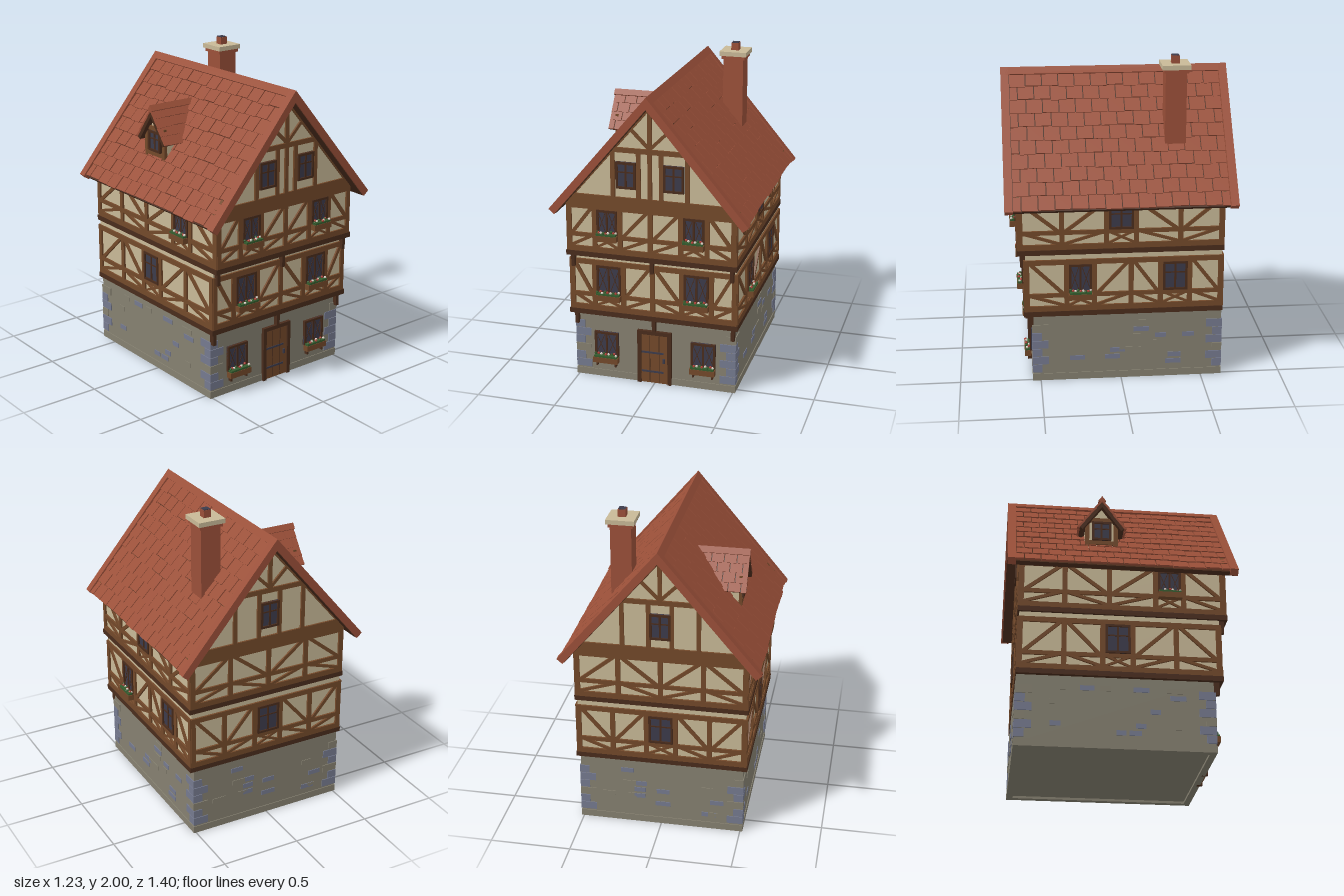
import * as THREE from 'three';
import { mergeGeometries } from 'three/addons/utils/BufferGeometryUtils.js';

const mat = (name, color) => Object.assign(new THREE.MeshStandardMaterial({ color, flatShading: true }), { name });
const M = {
  plaster: mat('plaster', 0xc8b997), tile: mat('roof tile', 0x9b5039), stone: mat('stone', 0x858070),
  blueStone: mat('blue stone', 0x757a8f), timber: mat('timber', 0x73492a), dark: mat('dark timber', 0x4a2c1c),
  glass: mat('window glass', 0x3c3b4b), leaf: mat('foliage', 0x345c2e), red: mat('red flower', 0xb04038),
  white: mat('pale flower', 0xd8cfc4),
};
let seed = 7;
const rnd = () => (seed = (seed * 16807) % 2147483647) / 2147483647;

function box(g, name, m, w, h, d, x, y, z) {
  const b = new THREE.Mesh(new THREE.BoxGeometry(w, h, d), m);
  b.name = name;
  b.position.set(x, y, z);
  g.add(b);
  return b;
}
// box given by its limits on each axis
const span = (g, name, m, x0, x1, y0, y1, z0, z1) =>
  box(g, name, m, x1 - x0, y1 - y0, z1 - z0, (x0 + x1) / 2, (y0 + y1) / 2, (z0 + z1) / 2);
// beam on a wall plane (z = 0), running between two points
function beam(g, x0, y0, x1, y1, w = 0.026, m = M.timber, d = 0.02, name = 'beam') {
  const b = box(g, name, m, Math.hypot(x1 - x0, y1 - y0), w, d, (x0 + x1) / 2, (y0 + y1) / 2, 0.002);
  b.rotation.z = Math.atan2(y1 - y0, x1 - x0);
}
function group(parent, name, x = 0, y = 0, z = 0, ry = 0) {
  const g = new THREE.Group();
  g.name = name;
  g.position.set(x, y, z);
  g.rotation.y = ry;
  parent.add(g);
  return g;
}
function extrude(g, name, m, pts, z0, z1) {
  const geo = new THREE.ExtrudeGeometry(new THREE.Shape(pts.map(p => new THREE.Vector2(...p))), { depth: z1 - z0, bevelEnabled: false });
  const e = new THREE.Mesh(geo, m);
  e.position.z = z0;
  e.name = name;
  g.add(e);
}

function flowerBox(parent, x, y, w, feet) {
  const g = group(parent, 'flowerBox', x, y, 0.03);
  box(g, 'planter', M.timber, w, 0.036, 0.04, 0, -0.018, 0);
  box(g, 'leaves', M.leaf, w * 0.92, 0.014, 0.034, 0, 0.005, 0);
  for (let i = 0; i < 9; i++) {
    const f = new THREE.Mesh(new THREE.IcosahedronGeometry(0.009, 0), i % 3 === 1 ? M.red : i % 3 ? M.white : M.leaf);
    f.name = 'flower';
    f.position.set((i / 8 - 0.5) * w * 0.85, 0.014 + rnd() * 0.008, (rnd() - 0.5) * 0.028);
    g.add(f);
  }
  if (feet) for (const s of [-1, 1]) box(g, 'bracket', M.dark, 0.01, 0.03, 0.025, s * w * 0.38, -0.048, -0.01);
}

function windowUnit(parent, x, y, w, h, lattice) {
  const g = group(parent, 'window', x, y, 0.004);
  box(g, 'glass', M.glass, w, h, 0.009, 0, 0, 0.002);
  for (const s of [-1, 1]) {
    box(g, 'jamb', M.dark, 0.014, h, 0.03, s * (w / 2 - 0.007), 0, 0);
    box(g, 'head', M.dark, w, 0.014, 0.03, 0, s * (h / 2 - 0.007), 0);
    if (lattice) for (const t of [-1, 1])
      beam(g, s * w / 4 - t * w / 5, -h * 0.45, s * w / 4 + t * w / 5, h * 0.45, 0.004, M.dark, 0.013, 'lattice');
  }
  box(g, 'mullion', M.dark, 0.012, h, 0.022, 0, 0, 0);
  if (!lattice) box(g, 'transom', M.dark, w, 0.008, 0.02, 0, h * 0.12, 0);
}

// timber frame: each bay is '/', '\\', 'F' (lattice window with flowers) or 'w' (plain window)
function frame(g, y0, rail, top, posts, bays) {
  const a = posts[0] - 0.015, b = posts[posts.length - 1] + 0.015;
  beam(g, a, y0 + 0.017, b, y0 + 0.017, 0.034);
  beam(g, a, rail, b, rail);
  beam(g, a, top, b, top, 0.032);
  posts.forEach(p => beam(g, p, y0, p, top, 0.03));
  [...bays].forEach((k, i) => {
    const l = posts[i] + 0.012, r = posts[i + 1] - 0.012, c = (l + r) / 2, lo = y0 + 0.035;
    if (k === 'F' || k === 'w') {
      windowUnit(g, c, (rail + top) / 2, r - l - 0.006, top - rail - 0.03, k === 'F');
      beam(g, l, lo, r, rail, 0.014);
      beam(g, l, rail, r, lo, 0.014);
      if (k === 'F') flowerBox(g, c, rail + 0.015, r - l, false);
    } else {
      const up = k === '/';
      beam(g, l, up ? rail : top, r, up ? top : rail, 0.022);
      beam(g, l, up ? lo : rail, r, up ? rail : lo, 0.018);
    }
  });
}

function gable(g, windows) {
  beam(g, -0.53, 1.21, 0.53, 1.21, 0.062);
  beam(g, -0.26, 1.535, 0.26, 1.535, 0.03);
  for (const s of [-1, 1]) {
    beam(g, s * 0.53, 1.2, 0, 1.82, 0.045);
    beam(g, s * 0.23, 1.24, s * 0.23, 1.53);
    beam(g, s * 0.07, 1.24, s * 0.07, 1.53);
    beam(g, 0, 1.55, s * 0.11, 1.66, 0.02);
  }
  if (windows.length > 1) beam(g, 0, 1.24, 0, 1.8);
  else beam(g, 0, 1.53, 0, 1.8);
  for (const x of windows) windowUnit(g, x, 1.38, 0.125, 0.165, false);
}

// roof cross-section swept along z: two slopes between an outer and inner offset
function chevron(g, name, m, H, a, L, out, inn, z0, z1) {
  const c = Math.cos(a), s = Math.sin(a);
  const eave = (o, k) => [k * (L * c - o * s), H - L * s - o * c];
  extrude(g, name, m, [eave(out, 1), [0, H - out / c], eave(out, -1), eave(inn, -1), [0, H - inn / c], eave(inn, 1)], z0, z1);
}
// staggered, slightly lifted tiles on both slopes
function tiles(g, H, a, s0, s1, z0, z1, rows, cols) {
  const list = [], pitch = (s1 - s0) / rows, w = (z1 - z0) / cols;
  for (const side of [0, Math.PI]) for (let r = 0; r < rows; r++) for (let c = 0; c <= cols; c++) {
    const shift = r % 2 ? 0.5 : 0;
    const a0 = Math.max(z0, z0 + (c - shift) * w), a1 = Math.min(z1, z0 + (c + 1 - shift) * w);
    if (a1 - a0 < 0.01) continue;
    const len = pitch * (0.96 + rnd() * 0.13);
    list.push(new THREE.BoxGeometry(len, 0.012, a1 - a0 - 0.006)
      .translate(len / 2, 0, 0).rotateZ(0.07).translate(s0 + r * pitch, -0.019 + rnd() * 0.003, 0)
      .rotateZ(-a).translate(0, H, 0).translate(0, 0, side ? -(a0 + a1) / 2 : (a0 + a1) / 2).rotateY(side));
  }
  const mesh = new THREE.Mesh(mergeGeometries(list), M.tile);
  mesh.name = 'roofTiles';
  g.add(mesh);
}

export function createModel() {
  seed = 7;
  const house = new THREE.Group();
  house.name = 'timberHouse';
  const H = Math.PI / 2;

  // stone ground floor with plinth rim
  span(house, 'stoneWalls', M.stone, -0.51, 0.51, 0.015, 0.45, -0.625, 0.545);
  for (const s of [-1, 1]) box(house, 'plinth', M.stone, 0.04, 0.045, 1.18, s * 0.495, 0.0225, -0.04);
  for (const z of [0.53, -0.61]) box(house, 'plinth', M.stone, 0.95, 0.045, 0.04, 0, 0.0225, z);
  for (const x of [-1, 1]) for (const z of [0.55, -0.63]) for (let i = 0; i < 6; i++) {
    const w = i % 2 ? 0.06 : 0.1, d = i % 2 ? 0.1 : 0.06, k = Math.sign(z);
    box(house, 'cornerStone', i % 3 === 2 && rnd() < 0.6 ? M.stone : M.blueStone, w, 0.05, d, x * (0.516 - w / 2), 0.08 + i * 0.054, z - k * d / 2);
  }

  // wall planes: local x runs right when the wall is faced
  const ground = [group(house, 'groundFront', 0, 0, 0.545), group(house, 'groundRight', 0.51, 0, 0, H),
    group(house, 'groundBack', 0, 0, -0.625, 2 * H), group(house, 'groundLeft', -0.51, 0, 0, -H)];
  ground.slice(1).forEach((g, i) => {
    for (let n = 0; n < 13; n++)
      box(g, 'wallStone', n % 3 ? M.blueStone : M.stone, 0.05 + rnd() * 0.05, 0.03, 0.008,
        (rnd() - 0.5) * 0.8 + (i === 0 ? 0.08 : 0), 0.1 + Math.floor(rnd() * 7) * 0.045, 0);
  });

  // ground floor door and windows
  const f = ground[0];
  box(f, 'doorPanel', M.timber, 0.17, 0.325, 0.016, 0, 0.165, 0.004);
  for (const s of [-1, 1]) {
    box(f, 'doorPost', M.dark, 0.024, 0.355, 0.036, s * 0.097, 0.1775, 0.003);
    windowUnit(f, s * 0.312, 0.23, 0.155, 0.165, true);
    flowerBox(f, s * 0.312, 0.148, 0.16, true);
    box(f, 'doorPlankLine', M.dark, 0.004, 0.32, 0.005, s * 0.03, 0.165, 0.011);
  }
  box(f, 'doorLintel', M.dark, 0.218, 0.024, 0.036, 0, 0.344, 0.003);
  for (const y of [0.08, 0.21]) box(f, 'doorHinge', M.glass, 0.14, 0.012, 0.006, -0.012, y, 0.013);
  box(f, 'doorHandle', M.glass, 0.014, 0.03, 0.014, 0.06, 0.16, 0.014);

  // upper floors, jetty beams and brackets
  span(house, 'firstFloorWalls', M.plaster, -0.52, 0.52, 0.45, 0.85, -0.618, 0.583);
  span(house, 'secondFloorWalls', M.plaster, -0.52, 0.52, 0.85, 1.2, -0.618, 0.62);
  span(house, 'jettyBeam', M.dark, -0.535, 0.535, 0.44, 0.472, -0.628, 0.597);
  span(house, 'jettyBeam', M.dark, -0.535, 0.535, 0.84, 0.872, -0.628, 0.634);
  for (const x of [-0.5, 0, 0.5]) {
    span(house, 'jettyBracket', M.dark, x - 0.011, x + 0.011, 0.36, 0.44, 0.54, 0.575);
    span(house, 'jettyBracket', M.dark, x - 0.011, x + 0.011, 0.76, 0.84, 0.58, 0.615);
  }

  // timber framing
  const front1 = group(house, 'firstFloorFront', 0, 0, 0.583), front2 = group(house, 'secondFloorFront', 0, 0, 0.62);
  const right = group(house, 'rightWall', 0.52, 0, 0, H), left = group(house, 'leftWall', -0.52, 0, 0, -H);
  const back = group(house, 'backWall', 0, 0, -0.618, 2 * H);
  const low = (g, p, b) => frame(g, 0.472, 0.575, 0.79, p, b);
  const high = (g, p, b) => frame(g, 0.872, 0.98, 1.165, p, b);
  low(front1, [-0.512, -0.37, -0.185, 0, 0.185, 0.37, 0.512], '\\F/\\F/');
  high(front2, [-0.512, -0.35, -0.19, 0, 0.19, 0.35, 0.512], '/F//F\\');
  low(right, [-0.575, -0.335, -0.165, 0.06, 0.24, 0.42, 0.61], '\\F/\\w\\');
  high(right, [-0.61, -0.36, -0.09, 0.09, 0.36, 0.61], '\\/w\\/');
  low(left, [-0.61, -0.35, -0.12, 0.06, 0.32, 0.575], '/\\w/\\');
  high(left, [-0.61, -0.35, -0.08, 0.2, 0.37, 0.61], '/\\/F\\');
  low(back, [-0.512, -0.3, -0.09, 0.09, 0.3, 0.512], '\\/w\\/');
  high(back, [-0.512, -0.26, 0, 0.26, 0.512], '/\\/\\');

  // attic
  extrude(house, 'atticGable', M.plaster, [[-0.52, 1.18], [0.52, 1.18], [0.52, 1.2], [0, 1.82], [-0.52, 1.2]], -0.618, 0.62);
  gable(front2, [-0.147, 0.147]);
  gable(back, [0]);

  // main roof
  const roof = group(house, 'mainRoof'), a = Math.atan2(0.73, 0.615), L = 0.955;
  chevron(roof, 'roofDeck', M.dark, 1.88, a, L - 0.008, 0.024, 0.05, -0.69, 0.69);
  for (const z of [-0.7, 0.65]) chevron(roof, 'bargeBoard', M.tile, 1.88, a, L, 0, 0.046, z, z + 0.05);
  chevron(roof, 'ridgeCap', M.tile, 1.88, a, 0.05, 0, 0.025, -0.69, 0.69);
  tiles(roof, 1.88, a, 0.04, L - 0.012, -0.65, 0.65, 10, 13);

  // dormer on the left slope, facing -x
  const dormer = group(house, 'dormer', 0, 0, -0.12, -H), da = Math.atan2(0.22, 0.16);
  extrude(dormer, 'dormerWalls', M.plaster, [[-0.1, 1.3], [0.1, 1.3], [0.1, 1.515], [0, 1.65], [-0.1, 1.515]], 0.2, 0.415);
  chevron(dormer, 'dormerDeck', M.dark, 1.7, da, 0.265, 0.022, 0.044, 0.12, 0.455);
  chevron(dormer, 'dormerRidge', M.tile, 1.7, da, 0.04, 0, 0.024, 0.12, 0.46);
  tiles(dormer, 1.7, da, 0.03, 0.27, 0.15, 0.46, 4, 4);
  const face = group(dormer, 'dormerFront', 0, 0, 0.415);
  windowUnit(face, 0, 1.465, 0.12, 0.13, false);
  beam(face, -0.1, 1.385, 0.1, 1.385);
  beam(face, -0.1, 1.545, 0.1, 1.545);
  for (const s of [-1, 1]) beam(face, s * 0.09, 1.36, s * 0.09, 1.53);

  // chimney
  const ch = group(house, 'chimney', 0.275, 0, -0.345);
  span(ch, 'chimneyStack', M.tile, -0.064, 0.064, 1.42, 1.91, -0.064, 0.064);
  span(ch, 'chimneyCollar', M.tile, -0.075, 0.075, 1.9, 1.925, -0.075, 0.075);
  span(ch, 'chimneyCap', M.plaster, -0.086, 0.086, 1.922, 1.95, -0.086, 0.086);
  span(ch, 'chimneyPot', M.tile, -0.024, 0.024, 1.95, 1.996, -0.024, 0.024);
  span(ch, 'chimneyOpening', M.glass, -0.021, 0.021, 1.994, 2, -0.021, 0.021);
  return house;
}
